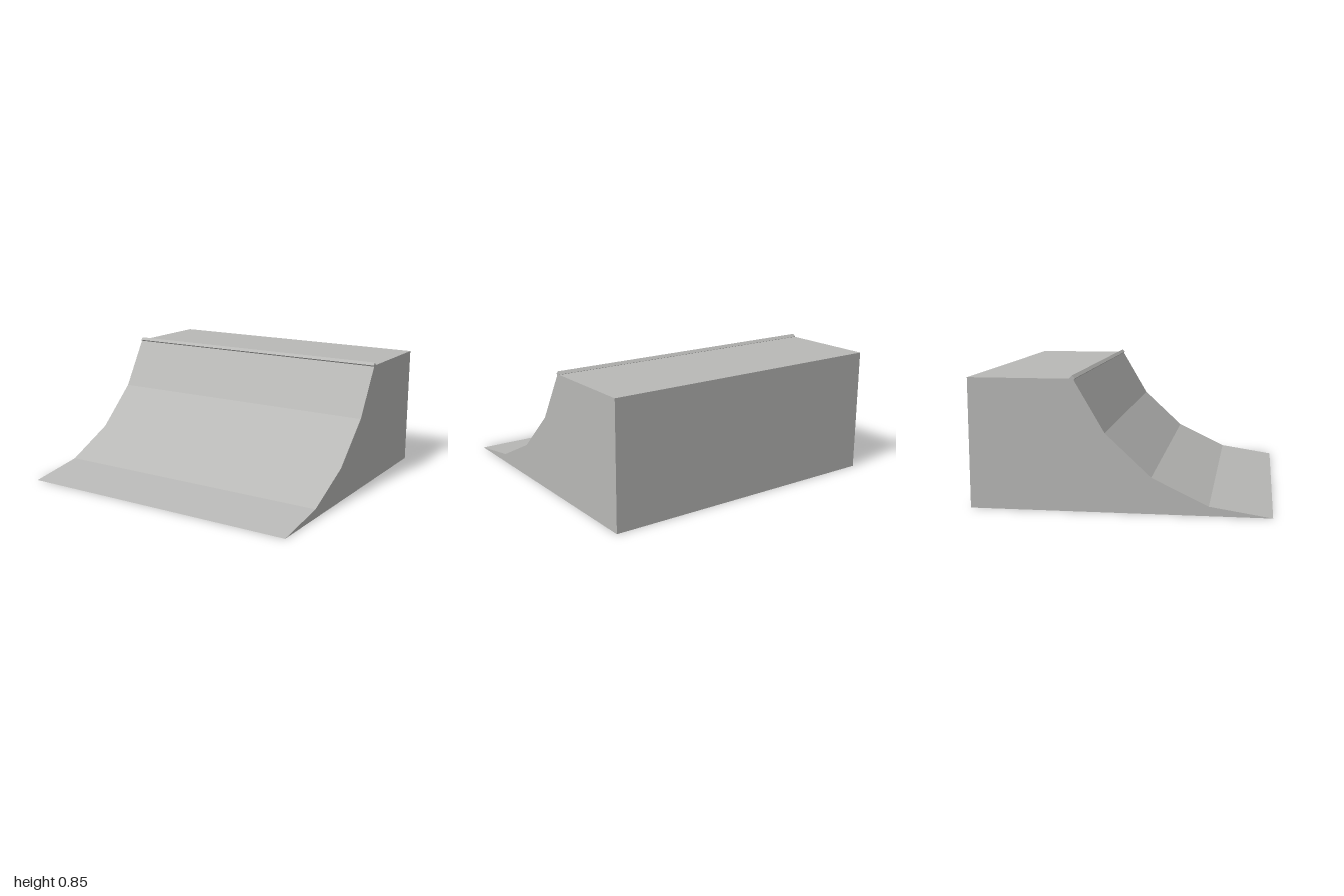
import * as THREE from 'three';

// Side profile as [z, y], from the front toe over the deck to the back foot
const ramp = [[0.95, 0], [0.56, 0.06], [0.205, 0.23], [-0.085, 0.5], [-0.28, 0.833]];
const deck = [[-0.28, 0.833], [-0.95, 0.833]];
const back = [[-0.95, 0.833], [-0.95, 0]];

// Flat panels spanning the full width along a profile
function panels(points) {
  const pos = [];
  for (let i = 0; i < points.length - 1; i++) {
    const [az, ay] = points[i];
    const [bz, by] = points[i + 1];
    pos.push(-1, ay, az, 1, ay, az, 1, by, bz);
    pos.push(-1, ay, az, 1, by, bz, -1, by, bz);
  }
  const geo = new THREE.BufferGeometry();
  geo.setAttribute('position', new THREE.Float32BufferAttribute(pos, 3));
  geo.computeVertexNormals();
  return geo;
}

export function createModel() {
  const group = new THREE.Group();
  const concrete = new THREE.MeshStandardMaterial({
    name: 'concrete grey', color: 0xb8b8b6, flatShading: true, side: THREE.DoubleSide,
  });

  const add = (name, geometry) => {
    const mesh = new THREE.Mesh(geometry, concrete);
    mesh.name = name;
    group.add(mesh);
    return mesh;
  };

  // Open-bottomed shell
  add('rampSurface', panels(ramp));
  add('deck', panels(deck));
  add('backWall', panels(back));

  // Side walls, each facing outwards
  const outline = [...ramp, deck[1], back[1]];
  for (const s of [1, -1]) {
    const shape = new THREE.Shape(outline.map(([z, y]) => new THREE.Vector2(-s * z, y)));
    const wall = add(s > 0 ? 'leftWall' : 'rightWall', new THREE.ShapeGeometry(shape));
    wall.rotation.y = s * Math.PI / 2;
    wall.position.x = s;
  }

  // Four-sided coping rail along the lip
  const coping = add('coping', new THREE.CylinderGeometry(0.018, 0.018, 2, 4));
  coping.rotation.z = Math.PI / 2;
  coping.position.set(0, 0.835, -0.286);

  return group;
}
